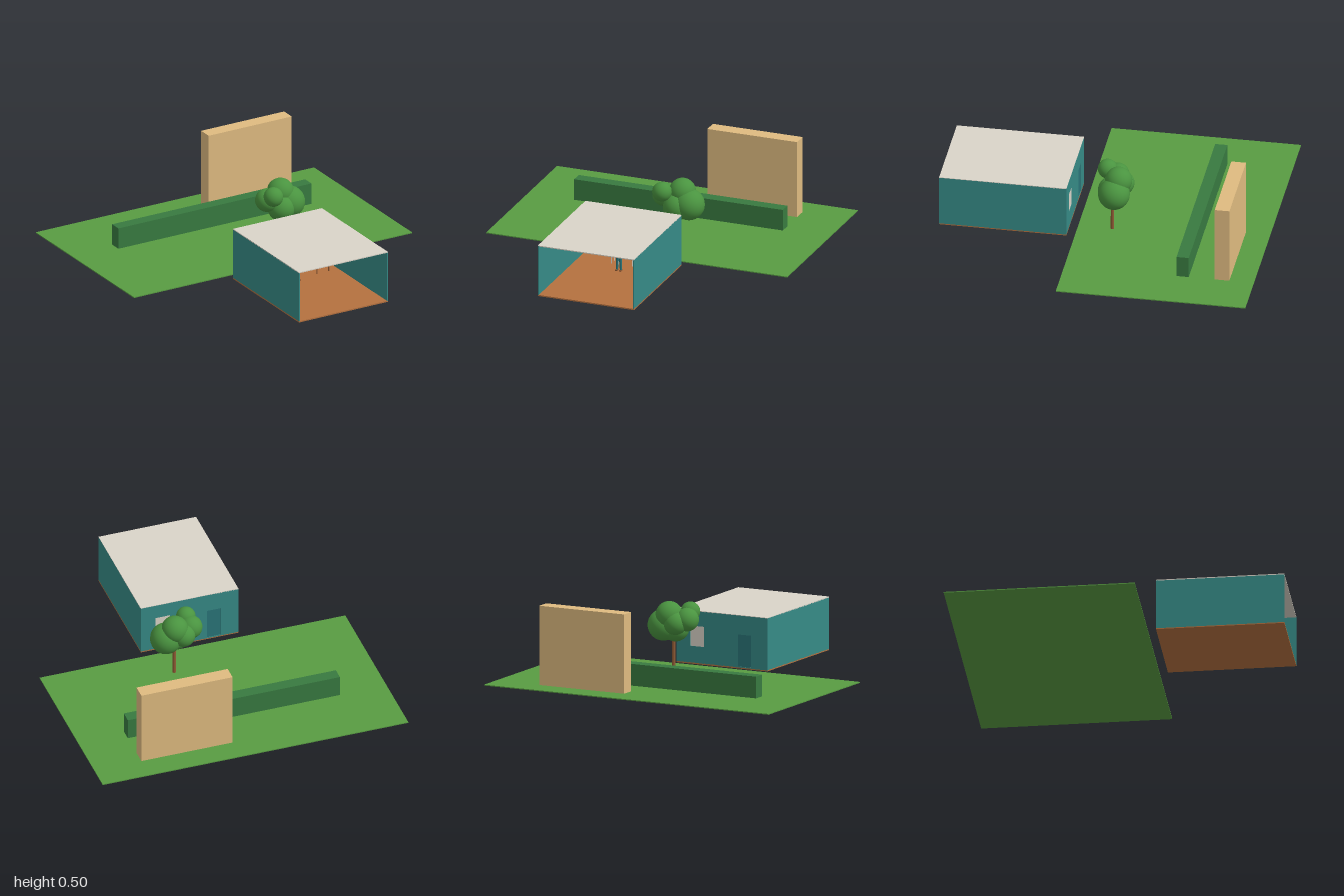
import * as THREE from 'three';

const paint = (name, color, double) => {
  const m = new THREE.MeshStandardMaterial({ color });
  m.name = name;
  if (double) m.side = THREE.DoubleSide;
  return m;
};

export function createModel() {
  const lawnGreen = paint('lawn green', 0x589c42);
  const hedgeGreen = paint('hedge green', 0x387a40);
  const leafGreen = paint('leaf green', 0x4a9440);
  const sand = paint('sand', 0xdfbb80);
  const teal = paint('teal', 0x368a86, true);
  const plaster = paint('plaster', 0xdad4c8);
  const wood = paint('wood', 0xb4713f);
  const bark = paint('bark', 0x8f5a34);
  const cloth = paint('cloth', 0x2a7478);
  const skin = paint('skin', 0x8a5636);

  const model = new THREE.Group();
  const group = (name, parent = model) => {
    const g = new THREE.Group();
    g.name = name;
    parent.add(g);
    return g;
  };
  const add = (parent, name, geo, mat, x = 0, y = 0, z = 0) => {
    const m = new THREE.Mesh(geo, mat);
    m.name = name;
    m.position.set(x, y, z);
    parent.add(m);
    return m;
  };
  // Box given by its limits on each axis
  const box = (parent, name, mat, x0, x1, y0, y1, z0, z1) =>
    add(parent, name, new THREE.BoxGeometry(x1 - x0, y1 - y0, z1 - z0), mat,
      (x0 + x1) / 2, (y0 + y1) / 2, (z0 + z1) / 2);
  const rod = (parent, name, mat, a, b, r0, r1 = r0) => {
    const p = new THREE.Vector3(...a), q = new THREE.Vector3(...b);
    const d = q.clone().sub(p);
    const m = add(parent, name, new THREE.CylinderGeometry(r1, r0, d.length(), 12), mat);
    m.position.copy(p.add(q).multiplyScalar(0.5));
    m.quaternion.setFromUnitVectors(new THREE.Vector3(0, 1, 0), d.normalize());
    return m;
  };

  // Garden
  const garden = group('garden');
  box(garden, 'lawn', lawnGreen, -0.98, 0.98, 0, 0.006, -1, 0.165);
  box(garden, 'hedge', hedgeGreen, -0.68, 0.68, 0.004, 0.14, -0.6, -0.525);
  box(garden, 'distantBuilding', sand, 0.095, 0.68, 0.004, 0.495, -0.85, -0.76);

  // Tree
  const tree = group('tree', garden);
  rod(tree, 'trunk', bark, [0.19, 0.004, -0.045], [0.19, 0.27, -0.045], 0.011, 0.009);
  [
    [0.2, 0.355, -0.085, 0.083], [0.1, 0.37, 0.0, 0.06], [0.25, 0.285, -0.065, 0.097],
    [0.09, 0.33, -0.06, 0.072], [0.15, 0.31, -0.1, 0.073], [0.18, 0.27, -0.04, 0.085],
  ].forEach(([x, y, z, r]) =>
    add(tree, 'foliage', new THREE.SphereGeometry(r, 24, 16), leafGreen, x, y, z));

  // Room shell, open at the front
  const room = group('room');
  const W = 0.313, H = 0.33, T = 0.006, Z0 = 0.217;
  box(room, 'floor', wood, -W, W, 0, 0.008, Z0, 1);
  box(room, 'roof', plaster, -W, W, H - T, H, Z0, 1);
  for (const s of [-1, 1])
    box(room, 'sideWall', teal, s * (W - T / 2) - T / 2, s * (W - T / 2) + T / 2, 0.006, H - 0.003, Z0, 1);

  // Back wall with door and window openings
  const wall = new THREE.Shape([[-W, 0.006], [W, 0.006], [W, H - 0.003], [-W, H - 0.003]]
    .map(p => new THREE.Vector2(...p)));
  const hole = (x0, x1, y0, y1) => wall.holes.push(new THREE.Path(
    [[x0, y0], [x0, y1], [x1, y1], [x1, y0]].map(p => new THREE.Vector2(...p))));
  hole(-0.2, -0.11, 0.012, 0.21);
  hole(0.125, 0.22, 0.11, 0.235);
  add(room, 'backWall', new THREE.ExtrudeGeometry(wall, { depth: 0.01, bevelEnabled: false }),
    teal, 0, 0, Z0);
  const zi = Z0 + 0.01;

  // Door, its frame and handle
  const door = group('door', room);
  box(door, 'doorLeaf', cloth, -0.2, -0.11, 0.01, 0.21, Z0 + 0.003, zi - 0.002);
  for (const x of [-0.205, -0.105])
    box(door, 'doorJamb', plaster, x - 0.006, x + 0.006, 0.008, 0.22, zi, zi + 0.012);
  box(door, 'doorLintel', plaster, -0.211, -0.099, 0.208, 0.22, zi, zi + 0.012);
  for (const x of [-0.178, -0.132])
    box(door, 'doorPanel', teal, x - 0.016, x + 0.016, 0.03, 0.195, zi - 0.002, zi + 0.003);
  add(door, 'doorHandle', new THREE.SphereGeometry(0.005, 10, 8), plaster, -0.118, 0.1, zi + 0.004);

  // Window blind and frame
  box(room, 'windowBlind', plaster, 0.125, 0.22, 0.11, 0.235, Z0 + 0.002, zi + 0.002);
  for (const x of [0.122, 0.223])
    box(room, 'windowSide', cloth, x - 0.003, x + 0.003, 0.107, 0.238, zi, zi + 0.006);
  for (const y of [0.107, 0.238])
    box(room, 'windowRail', cloth, 0.119, 0.226, y - 0.003, y + 0.003, zi, zi + 0.006);

  // Wainscot, rails and cornices along the back wall
  for (const [x0, x1] of [[-W + T, -0.211], [-0.099, W - T]]) {
    box(room, 'wainscot', wood, x0, x1, 0.008, 0.1, zi, zi + 0.006);
    box(room, 'chairRail', sand, x0, x1, 0.1, 0.107, zi, zi + 0.009);
    box(room, 'skirting', plaster, x0, x1, 0.008, 0.02, zi, zi + 0.009);
  }
  box(room, 'cornice', plaster, -W + T, W - T, H - 0.015, H - T, zi, zi + 0.01);
  for (const s of [-1, 1])
    box(room, 'cornerTrim', plaster, s * 0.304 - 0.003, s * 0.304 + 0.003, 0.107, H - 0.015, zi, zi + 0.006);

  // Picture and ceiling lamp
  box(room, 'picture', sand, -0.096, -0.035, 0.225, 0.255, zi, zi + 0.005);
  const lamp = group('ceilingLamp', room);
  rod(lamp, 'lampCord', bark, [0.078, 0.28, 0.45], [0.078, H - T, 0.45], 0.003);
  for (let i = 0; i < 5; i++)
    add(lamp, 'lampBand', new THREE.CylinderGeometry(0.038, 0.038, 0.012, 20),
      i % 2 ? plaster : wood, 0.078, 0.231 + i * 0.012, 0.45);

  // Table with a plant
  const table = group('table', room);
  box(table, 'tableTop', wood, 0.15, 0.245, 0.075, 0.083, 0.34, 0.43);
  for (const x of [0.156, 0.239]) for (const z of [0.346, 0.424])
    rod(table, 'tableLeg', bark, [x, 0.008, z], [x, 0.076, z], 0.004);
  rod(table, 'plantPot', bark, [0.215, 0.083, 0.385], [0.215, 0.1, 0.385], 0.007, 0.01);
  add(table, 'plant', new THREE.SphereGeometry(0.015, 12, 8), leafGreen, 0.215, 0.109, 0.385);

  // Pale chairs beside the standing person
  for (const x of [-0.065, 0.07]) {
    const chair = group('chair', room);
    box(chair, 'chairSeat', wood, x - 0.025, x + 0.025, 0.048, 0.054, 0.31, 0.36);
    box(chair, 'chairBack', wood, x - 0.025, x + 0.025, 0.075, 0.1, 0.308, 0.313);
    for (const s of [-1, 1]) {
      rod(chair, 'chairBackLeg', plaster, [x + s * 0.022, 0.008, 0.312], [x + s * 0.022, 0.1, 0.312], 0.003);
      rod(chair, 'chairFrontLeg', plaster, [x + s * 0.022, 0.008, 0.356], [x + s * 0.022, 0.05, 0.356], 0.003);
    }
  }

  // Standing person
  const person = group('person', room);
  person.position.set(-0.002, 0.008, 0.45);
  const torso = rod(person, 'torso', cloth, [0, 0.09, 0], [0, 0.172, 0], 0.014, 0.02);
  torso.scale.z = 0.65;
  rod(person, 'neck', skin, [0, 0.17, 0], [0, 0.185, 0], 0.006);
  add(person, 'head', new THREE.SphereGeometry(0.014, 16, 12), skin, 0, 0.198, 0).scale.y = 1.25;
  for (const s of [-1, 1]) {
    rod(person, 'leg', cloth, [s * 0.013, 0.006, 0], [s * 0.008, 0.1, 0], 0.007, 0.009);
    rod(person, 'arm', cloth, [s * 0.03, 0.1, 0.004], [s * 0.019, 0.168, 0], 0.005, 0.007);
    add(person, 'hand', new THREE.SphereGeometry(0.006, 10, 8), skin, s * 0.031, 0.095, 0.004);
    box(person, 'shoe', bark, s * 0.013 - 0.006, s * 0.013 + 0.006, 0, 0.008, -0.008, 0.016);
  }

  return model;
}
